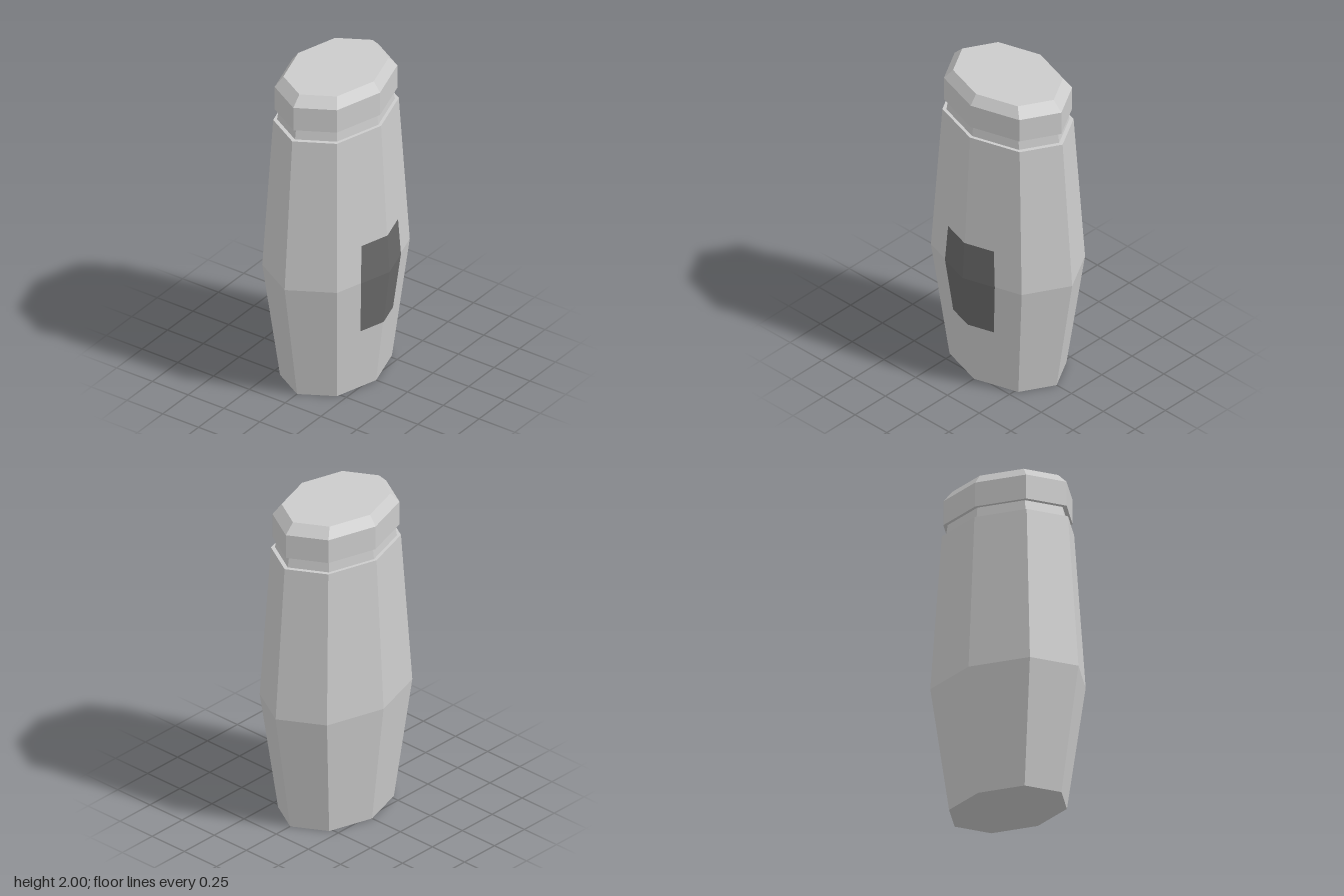
import * as THREE from 'three';

const DEPTH = 0.733; // depth of the oval relative to its width
const SIDES = 8;

const grey = new THREE.MeshStandardMaterial({ color: 0xcccccc, flatShading: true });
const dark = new THREE.MeshStandardMaterial({ color: 0x6a6a6a, flatShading: true, side: THREE.DoubleSide });

// Flattened eight-sided solid from [half width, height] pairs, bottom to top
function facetedOval(name, profile) {
  const points = profile.map(([r, y]) => new THREE.Vector2(r, y));
  const geometry = new THREE.LatheGeometry(points, SIDES).scale(1, 1, DEPTH).toNonIndexed();
  geometry.computeVertexNormals();
  const mesh = new THREE.Mesh(geometry, grey);
  mesh.name = name;
  return mesh;
}

// Patch that wraps the front ridge; rows are [half width, height, body half width]
function frontLabel(rows) {
  const geometry = new THREE.PlaneGeometry(2, 1, 2, rows.length - 1);
  const pos = geometry.attributes.position;
  const slope = DEPTH * (Math.SQRT2 - 1);
  for (let i = 0; i < pos.count; i++) {
    const [half, y, bodyHalf] = rows[Math.floor(i / 3)];
    const x = (i % 3 - 1) * half;
    pos.setXYZ(i, x, y, bodyHalf * DEPTH - Math.abs(x) * slope + 0.004);
  }
  const flat = geometry.toNonIndexed();
  flat.computeVertexNormals();
  const mesh = new THREE.Mesh(flat, dark);
  mesh.name = 'label';
  return mesh;
}

export function createModel() {
  const model = new THREE.Group();
  model.name = 'bottle';
  model.add(
    facetedOval('body', [[0, 0], [0.383, 0], [0.505, 0.76], [0.43, 1.72], [0, 1.72]]),
    facetedOval('neck', [[0, 1.71], [0.405, 1.71], [0.39, 1.8], [0, 1.8]]),
    facetedOval('cap', [[0, 1.79], [0.42, 1.79], [0.42, 1.94], [0.36, 2], [0, 2]]),
    // Rows run from top to bottom
    frontLabel([[0.18, 1.0, 0.486], [0.196, 0.76, 0.505], [0.16, 0.41, 0.449]]),
  );
  return model;
}
